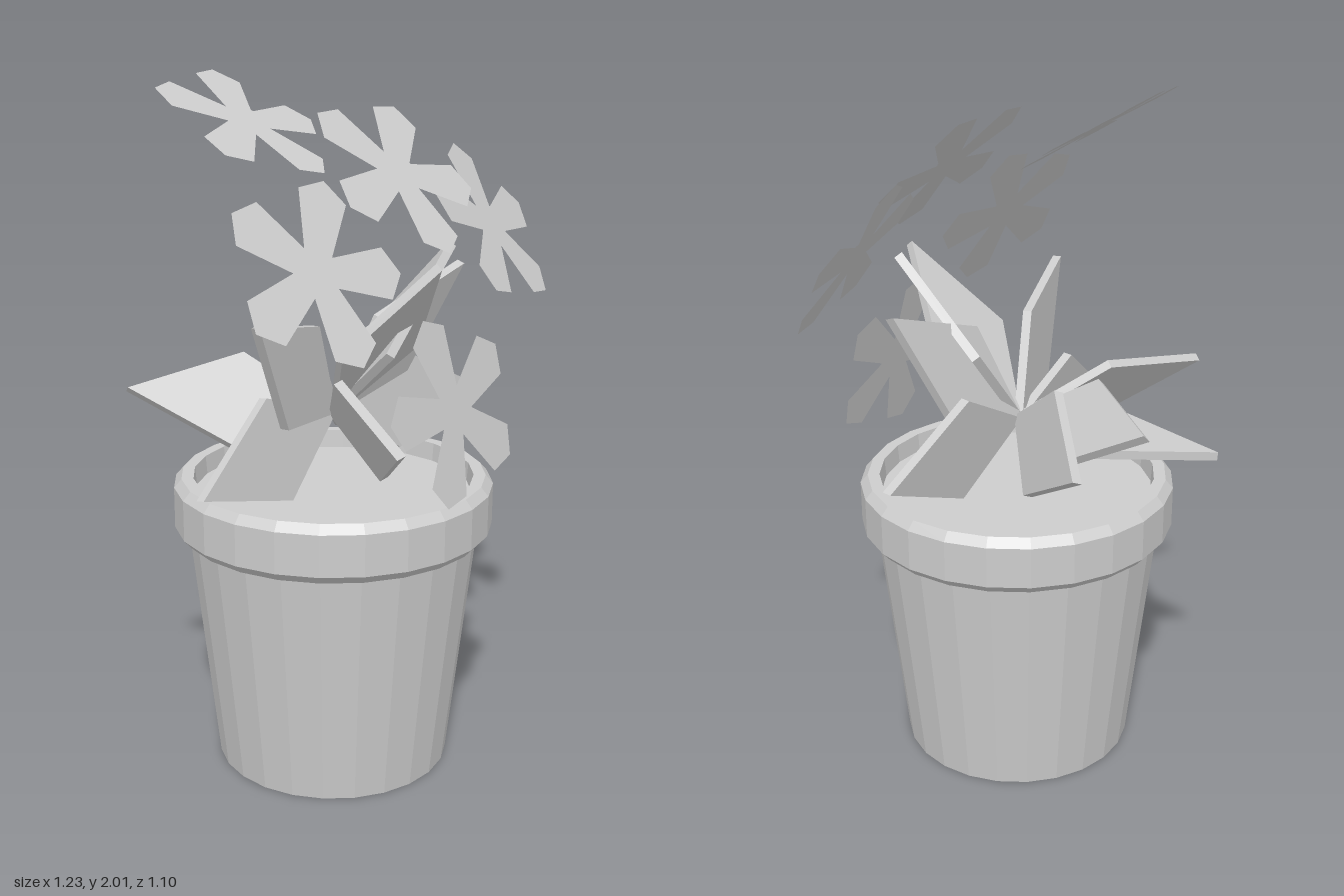
import * as THREE from 'three';

const V = (x, y, z) => new THREE.Vector3(x, y, z);
const grey = new THREE.MeshStandardMaterial({ color: 0xcccccc, side: THREE.DoubleSide, flatShading: true });
grey.name = 'plain grey';

// Mesh placed with its local x and y along two (made orthogonal) directions
function placed(geometry, name, position, xDir, yDir) {
  const y = yDir.clone().normalize();
  const x = xDir.clone().addScaledVector(y, -xDir.dot(y)).normalize();
  const z = x.clone().cross(y);
  const mesh = new THREE.Mesh(geometry, grey);
  mesh.name = name;
  mesh.quaternion.setFromRotationMatrix(new THREE.Matrix4().makeBasis(x, y, z));
  mesh.position.copy(position);
  return mesh;
}

// Kite-shaped slab growing along +y from its base point
function leafGeometry(length, halfWidth, thickness) {
  const shape = new THREE.Shape([
    new THREE.Vector2(0, 0), new THREE.Vector2(halfWidth, length * 0.45),
    new THREE.Vector2(0, length), new THREE.Vector2(-halfWidth, length * 0.45),
  ]);
  return new THREE.ExtrudeGeometry(shape, { depth: thickness, bevelEnabled: false })
    .translate(0, 0, -thickness / 2);
}

// Flat five-petalled outline, first petal along +x
function petalsGeometry() {
  const points = [];
  for (let i = 0; i < 5; i++) {
    const a = i * Math.PI * 2 / 5;
    for (const [r, w] of [[0.057, -0.041], [0.22, -0.072], [0.265, 0], [0.22, 0.072]]) {
      points.push(new THREE.Vector2(r, w).rotateAround(new THREE.Vector2(), a));
    }
  }
  return new THREE.ShapeGeometry(new THREE.Shape(points));
}

export function createModel() {
  const model = new THREE.Group();
  model.name = 'pottedFlower';

  // Pot with a bevelled rim and an inner wall
  const profile = [[0, 0], [0.347, 0], [0.425, 0.71], [0.445, 0.71], [0.467, 0.735],
    [0.467, 0.855], [0.445, 0.88], [0.41, 0.88], [0.405, 0.82]];
  const pot = new THREE.Mesh(
    new THREE.LatheGeometry(profile.map(p => new THREE.Vector2(...p)), 24, Math.PI / 24), grey);
  pot.name = 'pot';
  pot.position.set(-0.008, 0, 0.035);
  model.add(pot);

  // Soil disc
  const soil = new THREE.Mesh(new THREE.CircleGeometry(0.41, 24, Math.PI / 24).rotateX(-Math.PI / 2), grey);
  soil.name = 'soil';
  soil.position.set(-0.008, 0.825, 0.035);
  model.add(soil);

  // Leaves: tip position and width direction, all from one point
  const leaves = new THREE.Group();
  leaves.name = 'leaves';
  const root = V(0, 1.055, 0.025);
  const leafShape = leafGeometry(0.6, 0.155, 0.026);
  const leafList = [
    [V(-0.125, 1.02, -0.55), V(0.97, 0, -0.22)],
    [V(0.22, 1.19, -0.51), V(0.27, -0.18, -0.03)],
    [V(0.40, 1.11, -0.41), V(-0.10, 0.31, -0.04)],
    [V(0.585, 1.04, 0.05), V(0, 0.98, -0.1)],
    [V(-0.49, 1.16, -0.32), V(0.49, 0.75, -0.43)],
    [V(-0.59, 0.95, 0.09), V(-0.10, 0.31, -0.04)],
    [V(-0.31, 1.10, 0.54), V(-0.10, 0.27, -0.07)],
    [V(-0.47, 1.41, 0.18), V(0.15, 0.22, -0.04)],
    [V(0.40, 1.43, 0.145), V(-0.21, 0.21, 0.076)],
    [V(0.20, 1.55, 0.29), V(-0.2, -0.03, 0.2)],
    [V(0.01, 1.53, 0.40), V(1, -0.1, 0)],
  ];
  for (const [tip, width] of leafList) {
    leaves.add(placed(leafShape, 'leaf', root, width, tip.clone().sub(root)));
  }
  model.add(leaves);

  // Flowers: centre, facing direction and turn in degrees
  const petals = petalsGeometry();
  const heart = new THREE.CircleGeometry(0.07, 5, Math.PI / 5).translate(0, 0, 0.004);
  const flowerList = [
    [V(-0.18, 1.89, -0.13), V(0.06, 0.86, 0.51), -6],
    [V(-0.01, 1.765, 0.265), V(0, 0.68, 0.73), -18],
    [V(-0.37, 1.55, 0.305), V(-0.15, 0.49, 0.86), -7],
    [V(0.37, 1.59, 0.30), V(0.2, 0.55, 0.8), 7],
    [V(-0.015, 1.15, 0.48), V(0, 0.24, 0.97), 33],
  ];
  for (const [centre, normal, turn] of flowerList) {
    const flower = new THREE.Group();
    flower.name = 'flower';
    const n = normal.clone().normalize();
    const across = V(0, 1, 0).cross(n).normalize();
    const up = n.clone().cross(across);
    const angle = THREE.MathUtils.degToRad(turn);
    across.applyAxisAngle(n, angle);
    up.applyAxisAngle(n, angle);
    flower.add(placed(petals, 'petals', centre, across, up));
    flower.add(placed(heart, 'flowerHeart', centre, across, up));
    model.add(flower);
  }
  return model;
}
